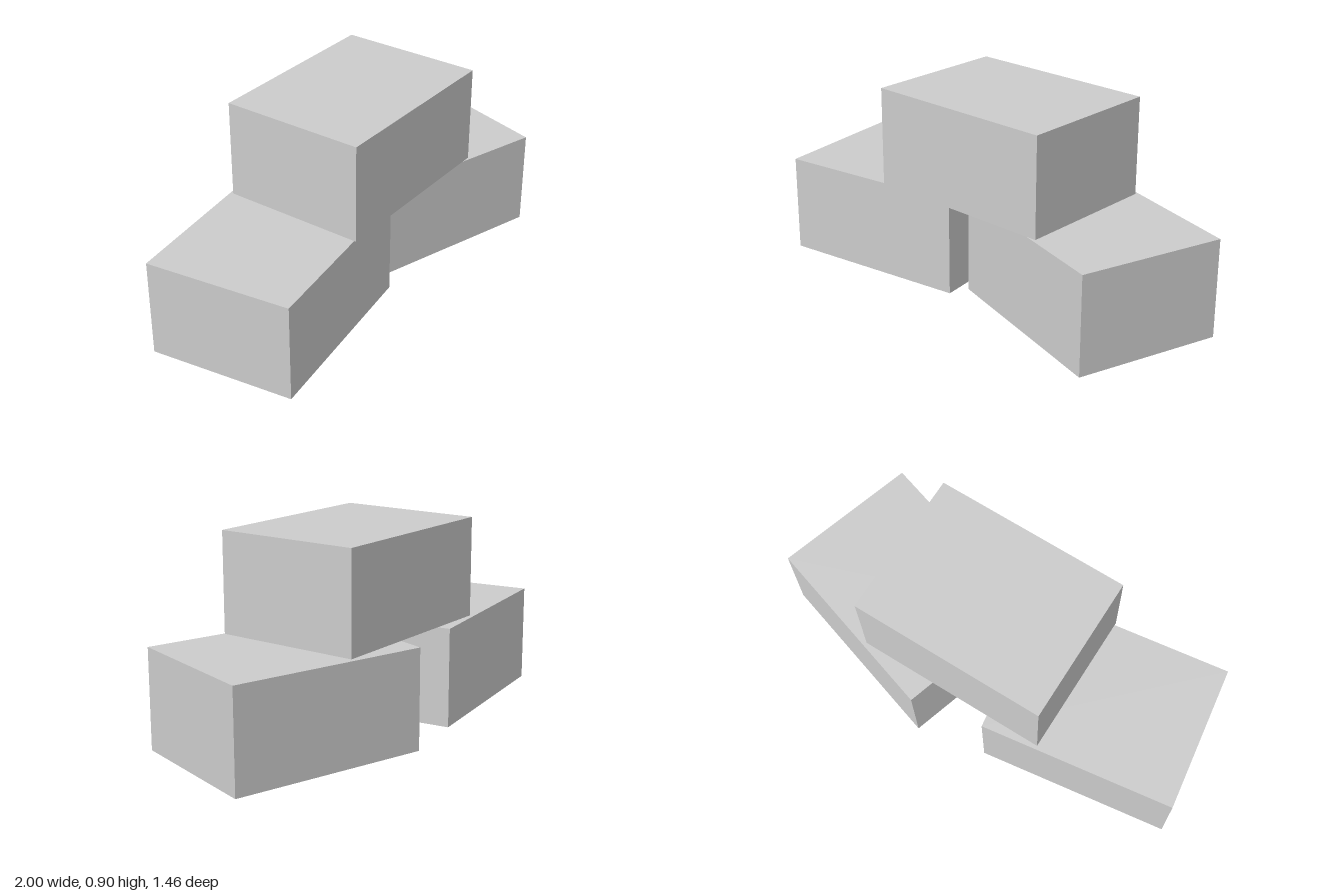
import * as THREE from 'three';

const LENGTH = 0.9, HEIGHT = 0.451, WIDTH = 0.675;

export function createModel() {
  const model = new THREE.Group();
  model.name = 'stackedBlocks';
  const geometry = new THREE.BoxGeometry(LENGTH, HEIGHT, WIDTH);
  const material = new THREE.MeshStandardMaterial({ color: 0xcccccc, flatShading: true });

  // One block, placed by its base height and turned about the vertical axis
  const addBlock = (name, x, base, z, degrees) => {
    const block = new THREE.Mesh(geometry, material);
    block.name = name;
    block.position.set(x, base + HEIGHT / 2, z);
    block.rotation.y = THREE.MathUtils.degToRad(degrees);
    model.add(block);
  };

  // Two blocks on the ground and one bridging them
  addBlock('rightLowerBlock', -0.4375, 0, 0.188, 36.2);
  addBlock('leftLowerBlock', 0.4915, 0, -0.314, 10.75);
  addBlock('upperBlock', 0.0835, 0.453, -0.0975, 28);

  return model;
}
